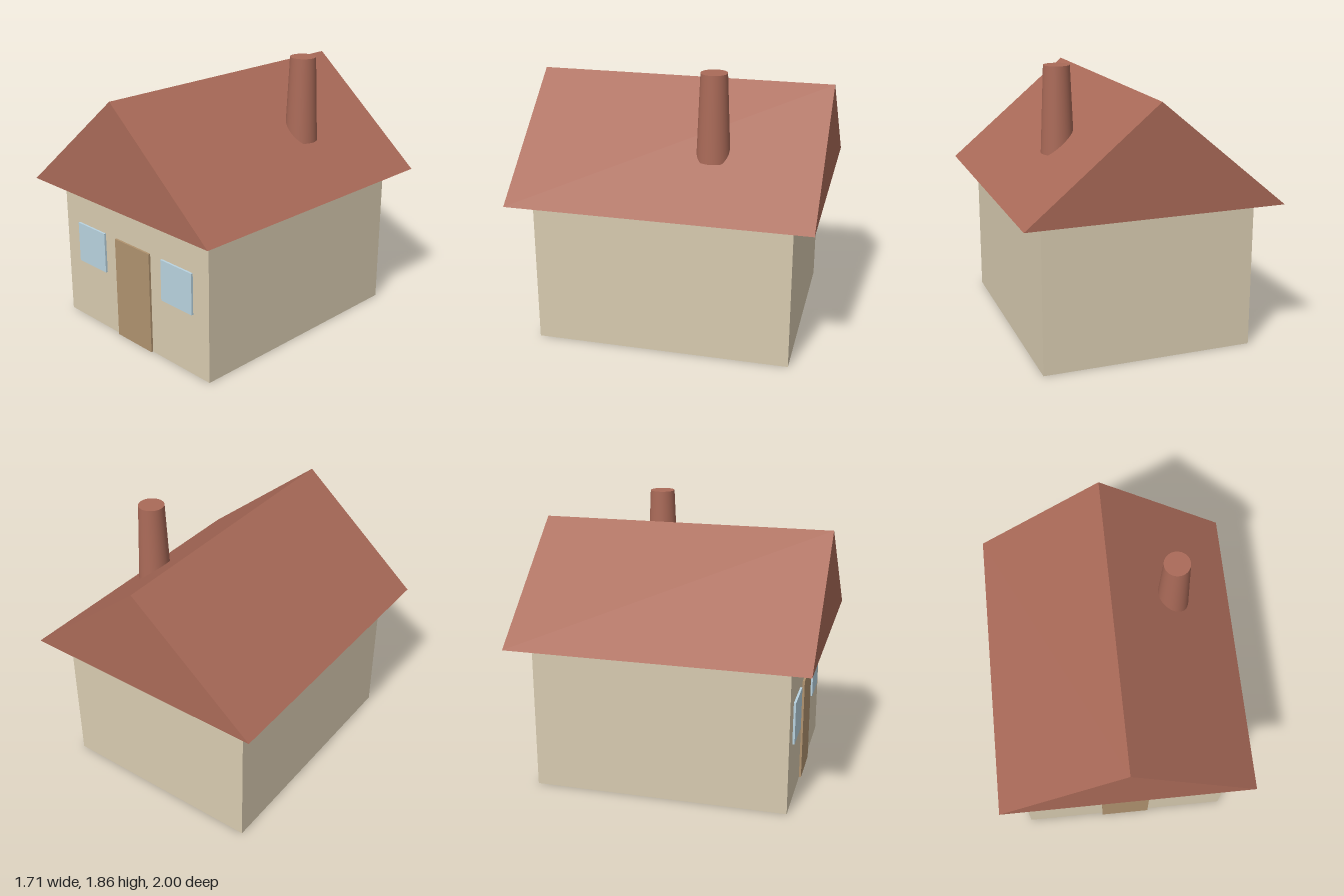
import * as THREE from 'three';

const WALL = 0xd8cbb0, ROOF = 0xaa6a58, DOOR = 0xb0936f, GLASS = 0xb9d3e0;

function addPart(group, name, geometry, color, x, y, z) {
  const mesh = new THREE.Mesh(geometry, new THREE.MeshStandardMaterial({ color }));
  mesh.name = name;
  mesh.position.set(x, y, z);
  group.add(mesh);
  return mesh;
}

export function createModel() {
  const house = new THREE.Group();
  house.name = 'house';

  const wallWidth = 1.429, wallHeight = 1, wallDepth = 1.714;
  const front = wallDepth / 2;
  const panelDepth = 0.029;

  // Main block
  addPart(house, 'walls', new THREE.BoxGeometry(wallWidth, wallHeight, wallDepth), WALL, 0, wallHeight / 2, 0);

  // Solid gable roof, overhanging on all sides
  const gable = new THREE.Shape([
    new THREE.Vector2(-0.857, 0),
    new THREE.Vector2(0.857, 0),
    new THREE.Vector2(0, 0.714),
  ]);
  const roof = new THREE.ExtrudeGeometry(gable, { depth: 2, bevelEnabled: false });
  addPart(house, 'roof', roof, ROOF, 0, wallHeight, -1);

  // Tapered chimney, partly sunk into the roof slope
  const chimney = new THREE.CylinderGeometry(0.086, 0.11, 0.571, 32);
  addPart(house, 'chimney', chimney, ROOF, 0.429, 1.571, -0.286);

  // Door and the two windows stand slightly proud of the front wall
  addPart(house, 'door', new THREE.BoxGeometry(0.343, 0.714, panelDepth), DOOR, 0, 0.357, front);
  for (const [name, side] of [['leftWindow', 1], ['rightWindow', -1]]) {
    addPart(house, name, new THREE.BoxGeometry(0.286, 0.286, panelDepth), GLASS, side * 0.429, 0.571, front);
  }

  return house;
}
